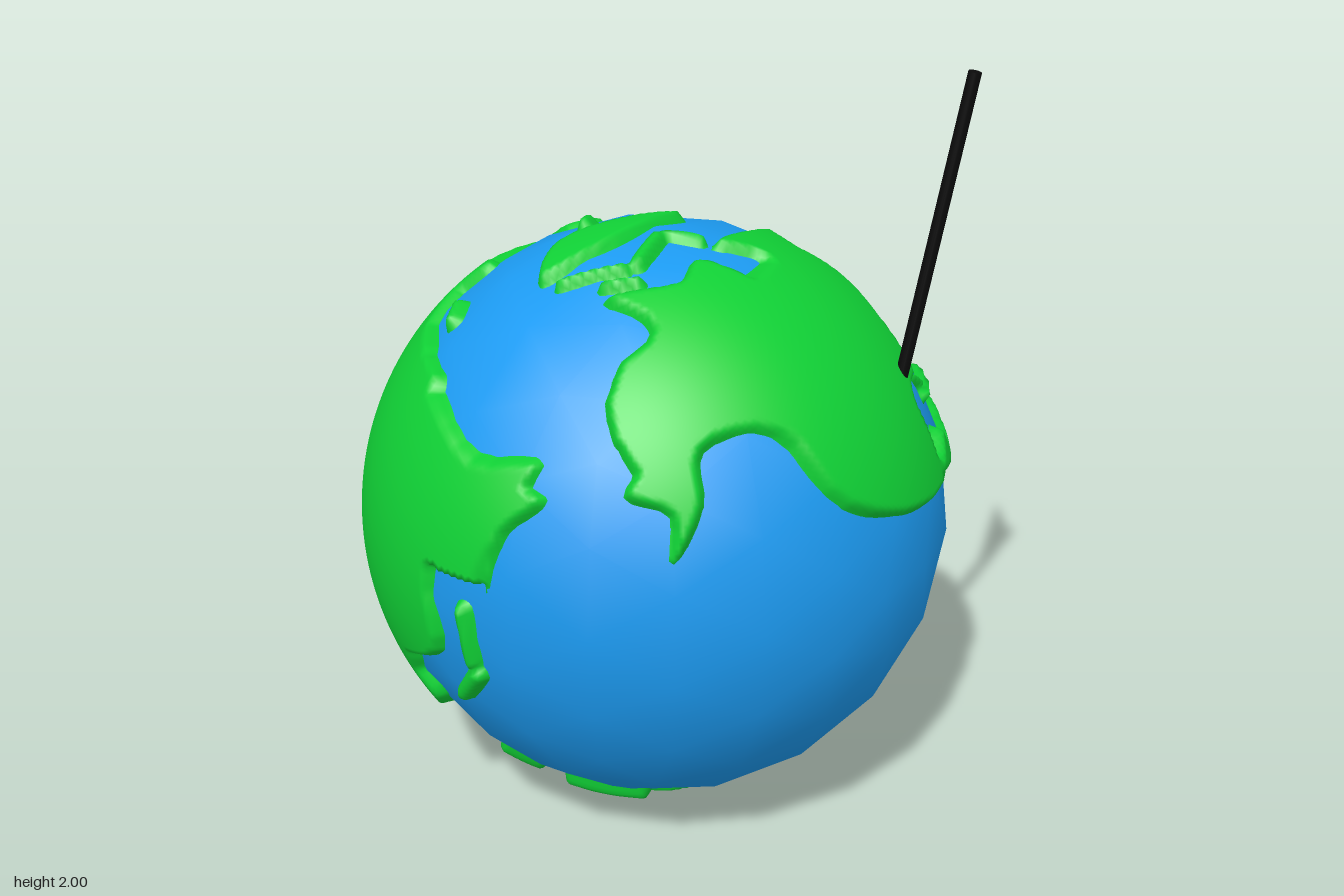
import * as THREE from 'three';
import { mergeVertices } from 'three/addons/utils/BufferGeometryUtils.js';

const CENTER_Y = 0.785, OCEAN_R = 0.766, LAND_R = 0.785;

// Flat drawing charts laid against the globe: azimuth, elevation, middle point, units per model unit
const chart = (az, el, cx, cy, scale) => {
  const a = THREE.MathUtils.degToRad(az), e = THREE.MathUtils.degToRad(el);
  const dir = new THREE.Vector3(Math.cos(e) * Math.sin(a), Math.sin(e), Math.cos(e) * Math.cos(a));
  const right = new THREE.Vector3(Math.cos(a), 0, -Math.sin(a));
  return { dir, right, up: dir.clone().cross(right), cx, cy, scale };
};
const front = chart(0, 0, 238.5, 265, 189);
const east = chart(90, 0, 686.5, 265, 189);
const top = chart(0, 90, 1134.5, 224.5, 238.5);
const backUpper = chart(215, 25, 686.5, 699.5, 147);
const backLower = chart(145, -25, 1136, 701.5, 147);
const west = chart(-90, 0, 0, 0, 100);
const bottom = chart(0, -90, 0, 0, 100);

// Distance from a point to the segment a-b
function segmentDistance(x, y, ax, ay, bx, by) {
  const dx = bx - ax, dy = by - ay;
  const t = THREE.MathUtils.clamp(((x - ax) * dx + (y - ay) * dy) / (dx * dx + dy * dy), 0, 1);
  return Math.hypot(x - ax - t * dx, y - ay - t * dy);
}

// Every piece of land measures signed distance to its shore, positive inside
const lands = [];

// A continent piece: smooth closed coast through a few points
function coast(on, ...xy) {
  const knots = [];
  for (let i = 0; i < xy.length; i += 2) knots.push(new THREE.Vector3(xy[i], xy[i + 1], 0));
  const pts = new THREE.CatmullRomCurve3(knots, true).getPoints(knots.length * 4);
  lands.push({ on, depth(x, y) {
    let inside = false, best = Infinity;
    for (let i = 1; i < pts.length; i++) {
      const a = pts[i - 1], b = pts[i];
      if ((a.y > y) !== (b.y > y) && x < a.x + ((y - a.y) / (b.y - a.y)) * (b.x - a.x)) inside = !inside;
      best = Math.min(best, segmentDistance(x, y, a.x, a.y, b.x, b.y));
    }
    return inside ? best : -best;
  } });
}

// An island: a rounded stroke between two points
function island(on, ax, ay, bx, by, radius) {
  lands.push({ on, depth: (x, y) => radius - segmentDistance(x, y, ax, ay, bx, by) });
}

// northern and southern America
coast(east, 548, 226, 568, 182, 588, 177, 606, 208, 634, 224, 674, 231, 722, 237, 730, 222, 704, 224, 694, 212,
  676, 221, 664, 204, 676, 188, 692, 186, 702, 164, 716, 145, 710, 130, 655, 128, 590, 138);
coast(front, 242, 150, 245, 180, 258, 184, 252, 199, 273, 207, 276, 227, 287, 203, 284, 182, 312, 179, 345, 215,
  385, 234, 365, 160, 300, 136);
coast(top, 1196, 168, 1202, 182, 1240, 203, 1285, 220, 1303, 275, 1285, 318, 1245, 338, 1190, 358, 1192, 387,
  1155, 385, 1134, 362, 1152, 325, 1120, 308, 1160, 288, 1165, 264, 1208, 262, 1202, 237, 1172, 241, 1184, 205);
coast(east, 727, 222, 757, 217, 790, 245, 811, 258, 803, 285, 786, 316, 749, 386, 763, 325, 761, 298, 733, 262);

// Europe and Asia
coast(top, 1103, 383, 1060, 370, 1022, 325, 1000, 280, 998, 235, 1030, 228, 1020, 188, 1034, 150, 1060, 164,
  1082, 146, 1067, 114, 1088, 98, 1010, 120, 940, 190, 945, 300, 1060, 400);
coast(backUpper, 664, 667, 700, 649, 770, 642, 815, 690, 775, 810, 757, 792, 751, 768, 720, 769, 717, 740,
  726, 720, 706, 692, 690, 678);
coast(front, 217, 203, 150, 188, 151, 172, 100, 180, 90, 320, 125, 347, 143, 356, 151, 336, 134, 317, 160, 295,
  158, 251, 170, 230, 188, 228, 188, 253, 198, 222);
coast(west, -42, -24, 0, -52, 50, -42, 62, -5, 36, 48, 22, 29, 13, 30, 2, 55, -12, 40, -21, 26, -36, 20, -45, 8);

// Africa
coast(backUpper, 616, 710, 640, 682, 665, 681, 690, 694, 721, 726, 714, 760, 690, 796, 633, 798, 650, 750, 625, 732);
coast(backLower, 1199, 613, 1197, 640, 1223, 672, 1215, 702, 1184, 730, 1239, 735, 1250, 695);

// southern continent and large polar island
coast(bottom, -12, -22, 10, -29, 23, -8, 18, 11, 2, 13, -8, 0);
coast(top, 1145, 193, 1136, 216, 1108, 262, 1076, 287, 1074, 245, 1110, 215);

// islands
island(east, 694, 187, 706, 196, 2);
island(east, 702, 200, 737, 200, 3);
island(top, 1082, 191, 1082, 203, 5);
island(top, 1133, 275, 1138, 245, 6);
island(top, 1140, 240, 1164, 238, 4);
island(top, 1090, 292, 1127, 281, 4);
island(top, 1118, 297, 1138, 292, 4);
island(top, 1018, 266, 1018, 280, 5);
island(front, 175, 264, 179, 292, 4);
island(front, 181, 299, 171, 316, 5);
island(front, 147, 374, 162, 385, 4);
island(front, 174, 380, 190, 390, 5);
island(front, 210, 389, 248, 391, 4);
island(bottom, -29, 6, -23, 16, 3);
island(backLower, 1205, 749, 1219, 747, 3);
island(backLower, 1095, 775, 1113, 769, 2);

function landDepth(dir) {
  let best = -1;
  for (const { on, depth } of lands) {
    if (dir.dot(on.dir) < 0.12) continue;
    const x = on.cx + on.scale * LAND_R * dir.dot(on.right);
    const y = on.cy - on.scale * LAND_R * dir.dot(on.up);
    best = Math.max(best, depth(x, y) / on.scale);
  }
  return best;
}

// Fine sphere raised inside the coasts, sunk at the shore, and removed over open sea
function landGeometry() {
  let geo = new THREE.IcosahedronGeometry(1, 80);
  geo.deleteAttribute('uv');
  geo.deleteAttribute('normal');
  geo = mergeVertices(geo, 1e-5);
  const pos = geo.attributes.position, depths = [], dir = new THREE.Vector3();
  for (let i = 0; i < pos.count; i++) {
    dir.fromBufferAttribute(pos, i).normalize();
    depths[i] = landDepth(dir);
    const r = LAND_R - 0.04 + 0.04 * THREE.MathUtils.smoothstep(depths[i], -0.012, 0.018);
    pos.setXYZ(i, dir.x * r, dir.y * r, dir.z * r);
  }
  const kept = [], index = geo.index.array;
  for (let i = 0; i < index.length; i += 3) {
    const [a, b, c] = [index[i], index[i + 1], index[i + 2]];
    if (Math.max(depths[a], depths[b], depths[c]) > -0.02) kept.push(a, b, c);
  }
  geo.setIndex(kept);
  geo.computeVertexNormals();
  return geo;
}

export function createModel() {
  const model = new THREE.Group();
  model.name = 'globeWithFlag';
  const add = (name, geo, color, side = THREE.FrontSide) => {
    const mesh = new THREE.Mesh(geo, new THREE.MeshStandardMaterial({ color, side }));
    mesh.name = name;
    model.add(mesh);
    return mesh;
  };

  // globe
  add('ocean', new THREE.IcosahedronGeometry(OCEAN_R, 3), 0x1c9bf2).position.y = CENTER_Y;
  add('continents', landGeometry(), 0x10d035).position.y = CENTER_Y;

  // leaning pole
  const foot = new THREE.Vector3(0.615, 1.12, 0.06), tip = new THREE.Vector3(0.763, 1.997, 0.06);
  const along = tip.clone().sub(foot);
  const pole = add('flagPole', new THREE.CylinderGeometry(0.016, 0.016, along.length(), 16), 0x0a0a0a);
  pole.position.copy(foot).add(tip).multiplyScalar(0.5);
  pole.quaternion.setFromUnitVectors(new THREE.Vector3(0, 1, 0), along.normalize());

  // triangular pennant
  const flag = new THREE.BufferGeometry().setFromPoints([
    new THREE.Vector3(0.76, 1.98, 0.055), new THREE.Vector3(0.697, 1.6, 0.055), new THREE.Vector3(0.724, 1.75, -0.34),
  ]);
  flag.computeVertexNormals();
  add('flag', flag, 0xd01010, THREE.DoubleSide);
  return model;
}
